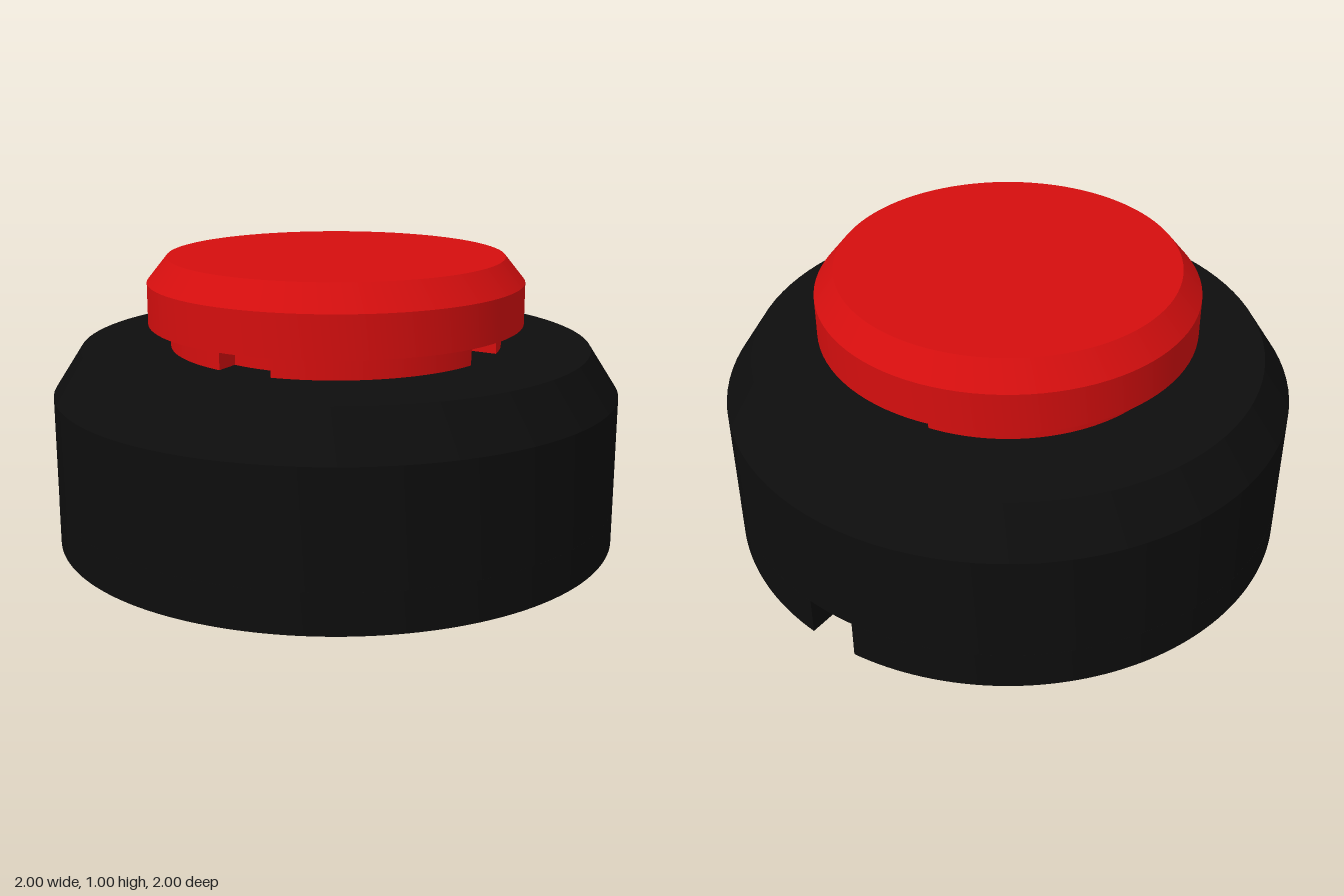
import * as THREE from 'three';
import { toCreasedNormals } from 'three/addons/utils/BufferGeometryUtils.js';

const black = new THREE.MeshStandardMaterial({ name: 'black plastic', color: 0x0d0d0d });
const red = new THREE.MeshStandardMaterial({ name: 'red plastic', color: 0xd40e0e });

function addMesh(group, name, geometry, material) {
  const mesh = new THREE.Mesh(toCreasedNormals(geometry, 0.4), material);
  mesh.name = name;
  group.add(mesh);
  return mesh;
}

// Solid of revolution from [radius, height] pairs, bottom to top
function turned(points) {
  return new THREE.LatheGeometry(points.map(([r, y]) => new THREE.Vector2(r, y)), 96);
}

// Upright extrusion of a plan shape; plan +y points to the back
function upright(shape, depth) {
  return new THREE.ExtrudeGeometry(shape, { depth, bevelEnabled: false, curveSegments: 96 }).rotateX(-Math.PI / 2);
}

export function createModel() {
  const model = new THREE.Group();
  model.name = 'pushButton';

  // Base foot with a cable slot cut into the back rim
  const slotHalf = 0.09, slotHeight = 0.14, slotEnd = 0.7;
  const a = Math.asin(slotHalf);
  const foot = new THREE.Shape();
  foot.absarc(0, 0, 1, Math.PI / 2 + a, Math.PI * 2.5 - a, false);
  foot.lineTo(slotHalf, slotEnd);
  foot.lineTo(-slotHalf, slotEnd);
  foot.closePath();
  addMesh(model, 'baseFoot', upright(foot, slotHeight), black);

  // Chamfered housing above the slot
  addMesh(model, 'baseHousing', turned([
    [0, slotHeight], [1, slotHeight], [1, 0.53], [0.9, 0.685], [0, 0.685],
  ]), black);

  // Neck: inner core and four wall segments with gaps on the axes
  addMesh(model, 'neckCore', turned([[0, 0.67], [0.5, 0.67], [0.5, 0.78], [0, 0.78]]), red);
  const outer = 0.587, inner = 0.49, gap = 0.1;
  const ao = Math.asin(gap / outer), ai = Math.asin(gap / inner);
  const wall = new THREE.Shape();
  wall.absarc(0, 0, outer, ao, Math.PI / 2 - ao, false);
  wall.absarc(0, 0, inner, Math.PI / 2 - ai, ai, true);
  wall.closePath();
  for (let i = 0; i < 4; i++) {
    const segment = addMesh(model, 'neckWall' + (i + 1), upright(wall, 0.11), red);
    segment.position.y = 0.67;
    segment.rotation.y = i * Math.PI / 2;
  }

  // Push cap with chamfered rim
  addMesh(model, 'pushCap', turned([
    [0, 0.767], [0.665, 0.767], [0.665, 0.913], [0.595, 1], [0, 1],
  ]), red);

  return model;
}
